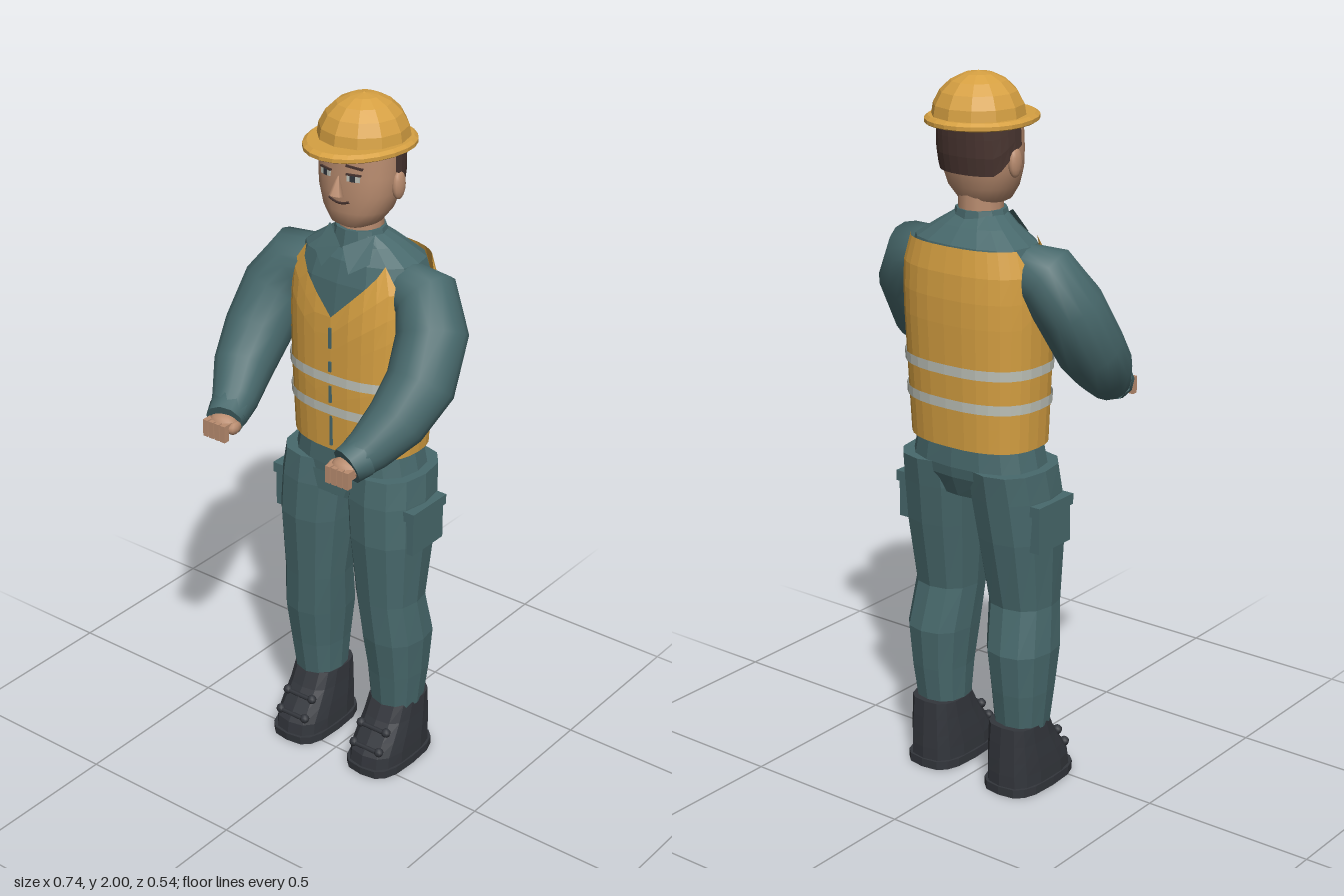
import * as THREE from 'three';

const mat = (name, color, side = THREE.FrontSide) => {
  const m = new THREE.MeshStandardMaterial({ color, side });
  m.name = name;
  return m;
};
const V = (x, y, z) => new THREE.Vector3(x, y, z);

// Skin a list of rings; closed rings wrap round and can be capped
function loft(rings, { flat = true, closed = true, cap = closed } = {}) {
  const n = rings[0].length, pos = [], idx = [];
  rings.forEach(r => r.forEach(p => pos.push(p.x, p.y, p.z)));
  for (let i = 0; i < rings.length - 1; i++) {
    for (let j = 0; j < (closed ? n : n - 1); j++) {
      const a = i * n + j, b = i * n + (j + 1) % n;
      idx.push(a, b, b + n, a, b + n, a + n);
    }
  }
  if (cap) [rings[0], rings[rings.length - 1]].forEach((r, end) => {
    const base = pos.length / 3, c = V(0, 0, 0);
    r.forEach(p => { pos.push(p.x, p.y, p.z); c.addScaledVector(p, 1 / n); });
    pos.push(c.x, c.y, c.z);
    for (let j = 0; j < n; j++) {
      const a = base + j, b = base + (j + 1) % n;
      idx.push(...(end ? [a, b, base + n] : [b, a, base + n]));
    }
  });
  let g = new THREE.BufferGeometry();
  g.setAttribute('position', new THREE.Float32BufferAttribute(pos, 3));
  g.setIndex(idx);
  if (flat) g = g.toNonIndexed();
  g.computeVertexNormals();
  return g;
}

// Upright form from rows of [y, xMin, xMax, zFront, zBack]; p rounds (1) or squares (<1) the section
function form(rows, p) {
  const at = y => {
    let i = 0;
    while (i < rows.length - 2 && y > rows[i + 1][0]) i++;
    const a = rows[i], b = rows[i + 1];
    const t = THREE.MathUtils.clamp((y - a[0]) / (b[0] - a[0]), 0, 1);
    return a.map((v, k) => v + (b[k] - v) * t);
  };
  const pw = v => Math.sign(v) * Math.abs(v) ** p;
  const point = (th, y, off = 0) => {
    const [, x0, x1, zf, zb] = at(y);
    return V((x0 + x1) / 2 + ((x1 - x0) / 2 + off) * pw(Math.sin(th)), y,
      (zf + zb) / 2 + ((zf - zb) / 2 + off) * pw(Math.cos(th)));
  };
  const solid = (n, flat = true) => loft(rows.map(r =>
    Array.from({ length: n }, (_, j) => point(j / n * Math.PI * 2, r[0]))), { flat });
  // Thin layer over the form between two height rules
  const shell = (t0, t1, n, low, high, off, steps = 8) => loft(
    Array.from({ length: steps + 1 }, (_, i) => Array.from({ length: n + 1 }, (_, j) => {
      const th = t0 + (t1 - t0) * j / n;
      return point(th, low(th) + (high(th) - low(th)) * i / steps, off);
    })), { closed: false });
  const frontZ = (x, y) => {
    const [, x0, x1, zf, zb] = at(y);
    const u = Math.abs(x - (x0 + x1) / 2) / ((x1 - x0) / 2);
    return (zf + zb) / 2 + (zf - zb) / 2 * Math.max(0, 1 - u ** (2 / p)) ** (p / 2);
  };
  return { solid, shell, frontZ };
}
const sym = rows => rows.map(([y, rx, zf, zb]) => [y, -rx, rx, zf, zb]);

// Round limb along a path of [x, y, z, radius]
function limb(path, n) {
  const pts = path.map(q => V(q[0], q[1], q[2]));
  const curve = new THREE.CatmullRomCurve3(pts), A = V(0, 0, 1);
  return loft(path.map((q, i) => {
    const T = curve.getTangent(i / (path.length - 1));
    A.addScaledVector(T, -A.dot(T)).normalize();
    const B = T.clone().cross(A);
    return Array.from({ length: n }, (_, j) => {
      const a = j / n * Math.PI * 2;
      return pts[i].clone().addScaledVector(A, q[3] * Math.cos(a)).addScaledVector(B, q[3] * Math.sin(a));
    });
  }), { flat: false });
}

export function createModel() {
  const root = new THREE.Group();
  const yellow = mat('safety yellow', 0xd6a042, THREE.DoubleSide);
  const teal = mat('work cloth', 0x48696c, THREE.DoubleSide);
  const dark = mat('boot black', 0x33363c);
  const skin = mat('skin', 0xba8d70);
  const hairM = mat('hair', 0x493530, THREE.DoubleSide);
  const silver = mat('reflective silver', 0xbfc3ba, THREE.DoubleSide);
  const add = (name, geo, m, x = 0, y = 0, z = 0) => {
    const mesh = new THREE.Mesh(geo, m);
    mesh.name = name;
    mesh.position.set(x, y, z);
    root.add(mesh);
    return mesh;
  };
  const box = (w, h, d) => new THREE.BoxGeometry(w, h, d);
  const ball = (r, w = 12, h = 8) => new THREE.SphereGeometry(r, w, h);
  const full = Math.PI * 2;

  // Shirt, vest, reflective bands and zip
  const torso = form(sym([[0.98, .18, .005, -.24], [1.2, .19, .012, -.25], [1.4, .198, .012, -.258],
    [1.5, .195, -.002, -.252], [1.56, .175, -.02, -.24], [1.6, .115, -.045, -.2], [1.63, .068, -.05, -.165]]), .8);
  add('shirt', torso.solid(16), teal);
  const vestTop = th => {
    const x = .2 * Math.abs(Math.sin(th)) ** .8;
    if (Math.cos(th) < -.25) return 1.56;
    return x < .165 && Math.cos(th) > 0 ? 1.41 + x * 1.05 : 1.5;
  };
  add('vest', torso.shell(0, full, 32, () => 1.01, vestTop, .013), yellow);
  for (const y of [1.135, 1.23])
    add('reflectiveBand', torso.shell(0, full, 32, () => y - .014, () => y + .014, .018, 1), silver);
  for (const [y, h] of [[1.07, .09], [1.182, .05], [1.265, .03], [1.35, .06]])
    add('zip', box(.008, h, .008), teal, 0, y, torso.frontZ(0, y) + .013);

  // Neck and collar
  add('neck', new THREE.CylinderGeometry(.06, .062, .1, 12), skin, 0, 1.645, -.11);
  add('collarStand', form(sym([[1.59, .085, -.03, -.185], [1.64, .07, -.04, -.175]]), 1).solid(12), teal);
  for (const s of [1, -1]) {
    const upper = [V(.004 * s, 1.6, -.022), V(.075 * s, 1.635, -.07)];
    const lower = [V(.045 * s, 1.54, .006), V(.092 * s, 1.57, -.025)];
    add('collarFlap', loft(s > 0 ? [lower, upper] : [lower.reverse(), upper.reverse()], { closed: false }), teal);
  }

  // Head, hair and face
  const head = form(sym([[1.648, .04, -.045, -.14], [1.662, .068, -.022, -.16], [1.7, .096, -.014, -.182],
    [1.75, .112, -.01, -.195], [1.8, .116, -.01, -.202], [1.89, .114, -.014, -.205]]), .9);
  add('head', head.solid(24, false), skin);
  add('hair', head.shell(Math.PI * .47, Math.PI * 1.53, 16,
    th => 1.815 - .075 * Math.min(1, Math.max(0, -Math.cos(th) * 1.6)), () => 1.885, .007, 3), hairM);
  const nose = add('nose', new THREE.ConeGeometry(.021, .06, 6), skin, 0, 1.778, -.006);
  nose.rotation.x = -.25;
  const smile = new THREE.QuadraticBezierCurve3(...[-.033, 0, .033].map(x =>
    V(x, x ? 1.735 : 1.718, head.frontZ(x, 1.73) + .001)));
  add('mouth', new THREE.TubeGeometry(smile, 8, .0035, 5), hairM);
  for (const s of [1, -1]) {
    const face = (name, w, h, x, y, m, out) => {
      const p = add(name, box(w, h, .006), m, s * x, y, head.frontZ(x, y) + out);
      p.rotation.y = s * .25;
      return p;
    };
    face('eyeWhite', .036, .017, .045, 1.802, silver, 0);
    face('iris', .014, .017, .044, 1.802, dark, .002);
    face('eyelid', .042, .005, .045, 1.812, hairM, .001);
    face('eyebrow', .048, .006, .046, 1.832, hairM, 0).rotation.z = -s * .12;
    add('ear', ball(1), skin, s * .117, 1.772, -.115).scale.set(.014, .04, .024);
  }

  // Hard hat
  const dome = new THREE.SphereGeometry(1, 12, 5, 0, full, 0, Math.PI / 2).toNonIndexed();
  dome.computeVertexNormals();
  add('hatDome', dome, yellow, 0, 1.877, -.118).scale.set(.125, .121, .128);
  add('hatButton', new THREE.ConeGeometry(.012, .006, 8), yellow, 0, 1.997, -.118);
  const egg = (k, y) => Array.from({ length: 24 }, (_, j) => {
    const a = j / 24 * full, c = Math.cos(a);
    return V(.142 * k * Math.sin(a), y, -.118 + c * k * (c > 0 ? .188 : .143));
  });
  add('hatBrim', loft([egg(.97, 1.865), egg(1, 1.868), egg(1, 1.878), egg(.93, 1.886)]), yellow);

  // Trouser waist and fly
  add('trouserWaist', form(sym([[.86, .13, .005, -.215], [.92, .195, .012, -.24],
    [.95, .195, .012, -.245], [1.02, .18, .008, -.24]]), .8).solid(16), teal);
  add('fly', loft([[V(-.045, .875, .024), V(.045, .875, .024)], [V(-.065, .935, .022), V(.065, .935, .022)]],
    { closed: false }), teal);

  for (const s of [1, -1]) {
    const side = rows => rows.map(([y, a, b, zf, zb]) => [y, Math.min(s * a, s * b), Math.max(s * a, s * b), zf, zb]);

    // Leg and cargo pocket
    add('trouserLeg', form(side([[.19, .067, .212, -.035, -.185], [.3, .06, .224, -.02, -.2],
      [.42, .047, .233, 0, -.212], [.55, .036, .222, .01, -.183], [.75, .014, .233, .028, -.22],
      [.87, .002, .23, .025, -.238], [.95, .006, .222, .015, -.25]]), .85).solid(12), teal);
    add('cargoPocket', box(.04, .115, .14), teal, s * .222, .79, -.103);
    add('pocketFlap', box(.052, .03, .152), teal, s * .222, .852, -.103);

    // Boot with sole and lace bars
    add('bootSole', form(side([[0, .05, .225, .062, -.217], [.025, .05, .225, .064, -.217]]), .65).solid(16), dark);
    add('boot', form(side([[.02, .055, .22, .058, -.212], [.06, .056, .219, .052, -.212], [.1, .058, .217, .024, -.21],
      [.15, .062, .213, -.012, -.207], [.2, .065, .211, -.038, -.203]]), .7).solid(14), dark);
    for (const [y, z] of [[.08, .036], [.13, .002]]) {
      add('lace', new THREE.CylinderGeometry(.007, .007, .085, 6), dark, s * .137, y, z).rotation.z = Math.PI / 2;
      for (const d of [-1, 1]) add('laceStud', ball(.014, 8, 6), dark, s * .137 + d * .045, y, z - .003);
    }

    // Sleeve and cuff
    add('sleeve', limb([[.14, 1.495, -.115, .07], [.215, 1.48, -.108, .092], [.262, 1.4, -.075, .097],
      [.277, 1.285, -.005, .095], [.262, 1.205, .08, .083], [.23, 1.145, .155, .064], [.212, 1.12, .205, .052]]
      .map(([x, ...r]) => [s * x, ...r]), 16), teal);
    add('cuff', limb([[s * .223, 1.133, .18, .059], [s * .209, 1.116, .222, .053]], 10), teal);

    // Hand with curled fingers and thumb
    add('palm', ball(1), skin, s * .209, 1.113, .226).scale.set(.044, .028, .034);
    for (let i = 0; i < 4; i++) {
      const x = s * (.18 + i * .02);
      add('finger', box(.016, .026, .034), skin, x, 1.112, .25);
      add('fingertip', box(.016, .036, .018), skin, x, 1.094, .258);
    }
    add('thumb', ball(1, 8, 6), skin, s * .169, 1.108, .228).scale.set(.013, .018, .026);
  }
  return root;
}
